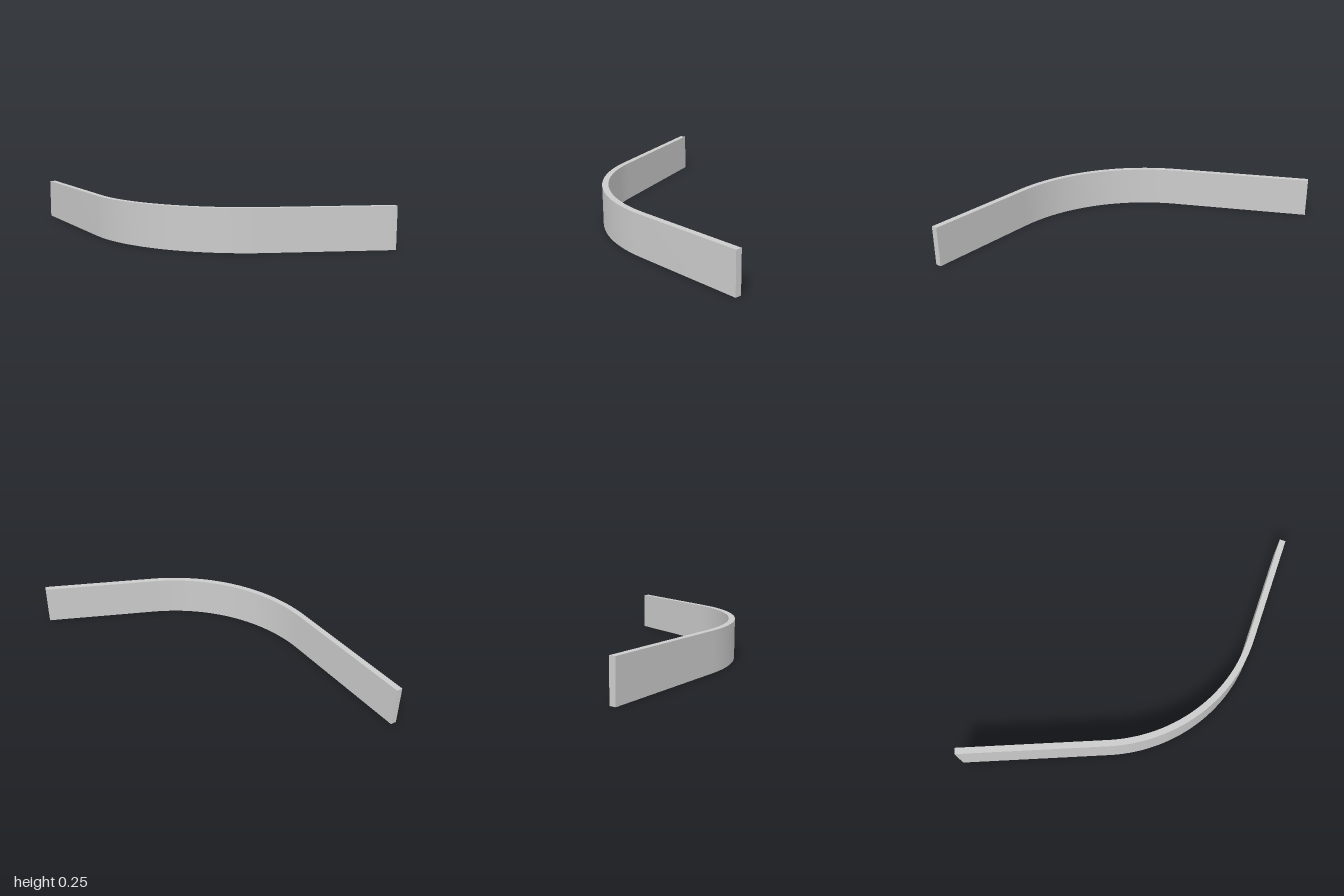
import * as THREE from 'three';
import { toCreasedNormals } from 'three/addons/utils/BufferGeometryUtils.js';

const HEIGHT = 0.247, THICKNESS = 0.038;
const RADIUS = 1, CX = 0.27, CZ = -0.273; // bend radius and centre (outer face)
const START = Math.PI / 2, END = START + THREE.MathUtils.degToRad(67.4);
const ARM = 0.9; // straight length after the bend

export function createModel() {
  const group = new THREE.Group();
  const inner = RADIUS - THICKNESS;

  // End of the slanted arm, for a face at radius r
  const armEnd = (r) => [
    CX + r * Math.cos(END) - ARM * Math.sin(END),
    CZ + r * Math.sin(END) + ARM * Math.cos(END),
  ];

  // Plan outline: straight arm, bend, slanted arm, and back along the inner face
  const outline = new THREE.Shape();
  outline.moveTo(1, CZ + RADIUS);
  outline.lineTo(CX, CZ + RADIUS);
  outline.absarc(CX, CZ, RADIUS, START, END, false);
  outline.lineTo(...armEnd(RADIUS));
  outline.lineTo(...armEnd(inner));
  outline.absarc(CX, CZ, inner, END, START, true);
  outline.lineTo(1, CZ + inner);
  outline.closePath();

  // Extrude to full height and lay the plan flat on the ground
  const extruded = new THREE.ExtrudeGeometry(outline, {
    depth: HEIGHT, bevelEnabled: false, curveSegments: 14,
  });
  extruded.rotateX(Math.PI / 2).translate(0, HEIGHT, 0);

  const strip = new THREE.Mesh(
    toCreasedNormals(extruded, Math.PI / 6),
    new THREE.MeshStandardMaterial({ color: 0xcccccc })
  );
  strip.name = 'bentStrip';
  group.add(strip);
  return group;
}
